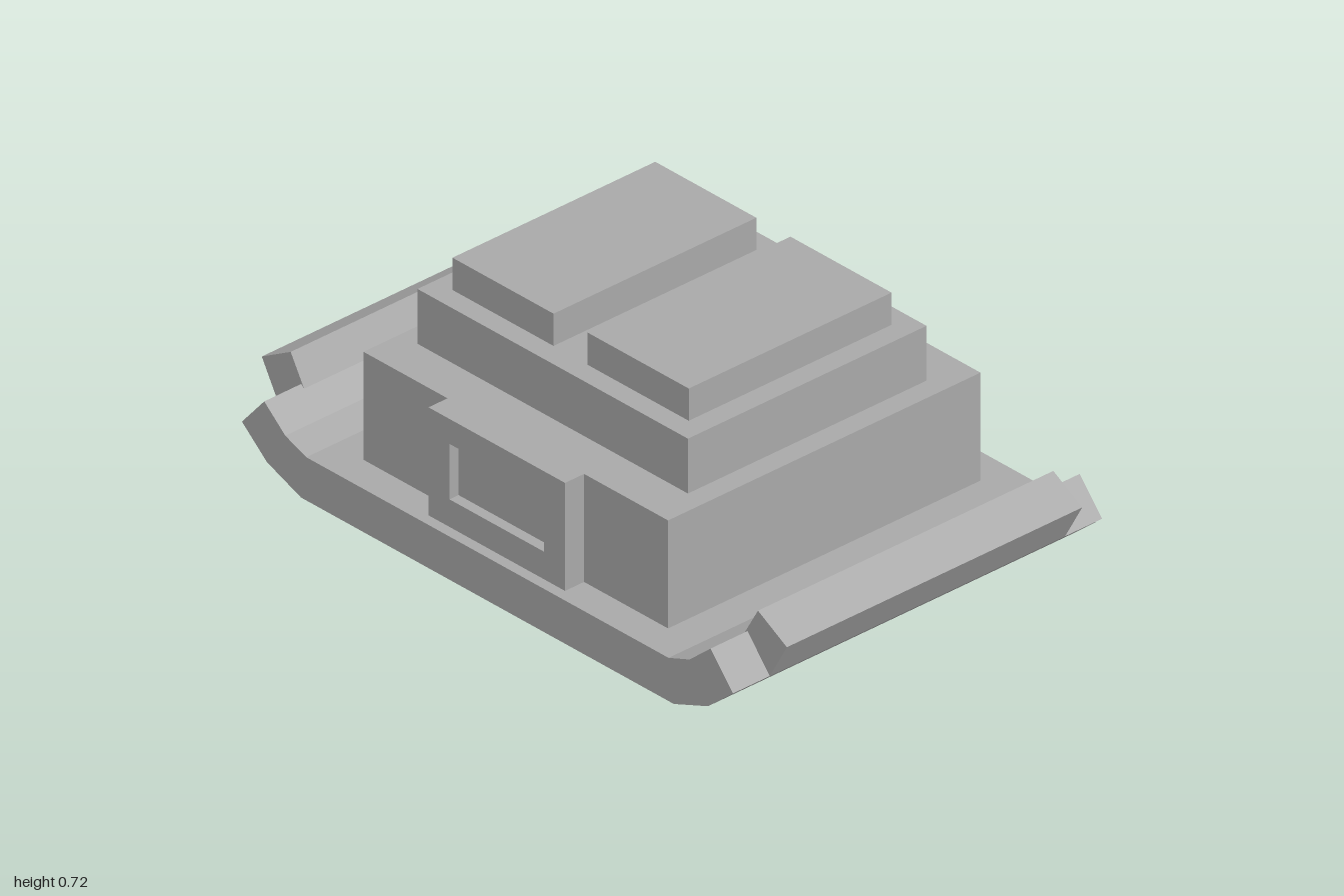
import * as THREE from 'three';

export function createModel() {
  const model = new THREE.Group();
  const grey = new THREE.MeshStandardMaterial({ color: 0xa8a8a8 });
  grey.name = 'plain grey';

  const add = (name, geometry) => {
    const mesh = new THREE.Mesh(geometry, grey);
    mesh.name = name;
    model.add(mesh);
    return mesh;
  };

  // Box given by its limits on each axis
  const block = (name, x0, x1, y0, y1, z0, z1) =>
    add(name, new THREE.BoxGeometry(x1 - x0, y1 - y0, z1 - z0))
      .position.set((x0 + x1) / 2, (y0 + y1) / 2, (z0 + z1) / 2);

  const toShape = (points) => new THREE.Shape(points.map(([x, y]) => new THREE.Vector2(x, y)));

  // Cross-section in x/y, extruded from z0 to z1
  const prism = (name, shape, z0, z1) =>
    add(name, new THREE.ExtrudeGeometry(shape, { depth: z1 - z0, bevelEnabled: false }).translate(0, 0, z0));

  const mirror = (points) => points.map(([x, y]) => [-x, y]).reverse();

  // Tray with upturned sides
  const outer = [[0.71, 0], [0.84, 0.05], [0.935, 0.13]];
  const inner = [[0.85, 0.228], [0.77, 0.16], [0.69, 0.13]];
  const half = [...outer, ...inner];
  prism('tray', toShape([...half, ...mirror(half)]), -0.65, 0.65);

  // Shorter flaps continuing the tray sides
  const flap = [[0.935, 0.13], [1, 0.245], [0.89, 0.307], [0.835, 0.212]];
  prism('leftFlap', toShape(flap), -0.52, 0.52);
  prism('rightFlap', toShape(mirror(flap)), -0.52, 0.52);

  // Stepped body
  block('lowerBody', -0.58, 0.58, 0.13, 0.455, -0.55, 0.55);
  block('upperBody', -0.515, 0.515, 0.455, 0.62, -0.42, 0.42);

  // Two raised pads on top
  block('leftPad', 0.065, 0.45, 0.62, 0.717, -0.357, 0.357);
  block('rightPad', -0.45, -0.065, 0.62, 0.717, -0.357, 0.357);

  // Front panel with a rectangular recess
  const rect = (x, y0, y1) => [[-x, y0], [x, y0], [x, y1], [-x, y1]];
  const panel = toShape(rect(0.26, 0.13, 0.455));
  panel.holes.push(toShape(rect(0.18, 0.213, 0.38)));
  prism('frontPanel', panel, 0.55, 0.617);
  block('recessFloor', -0.18, 0.18, 0.213, 0.38, 0.55, 0.585);

  return model;
}
